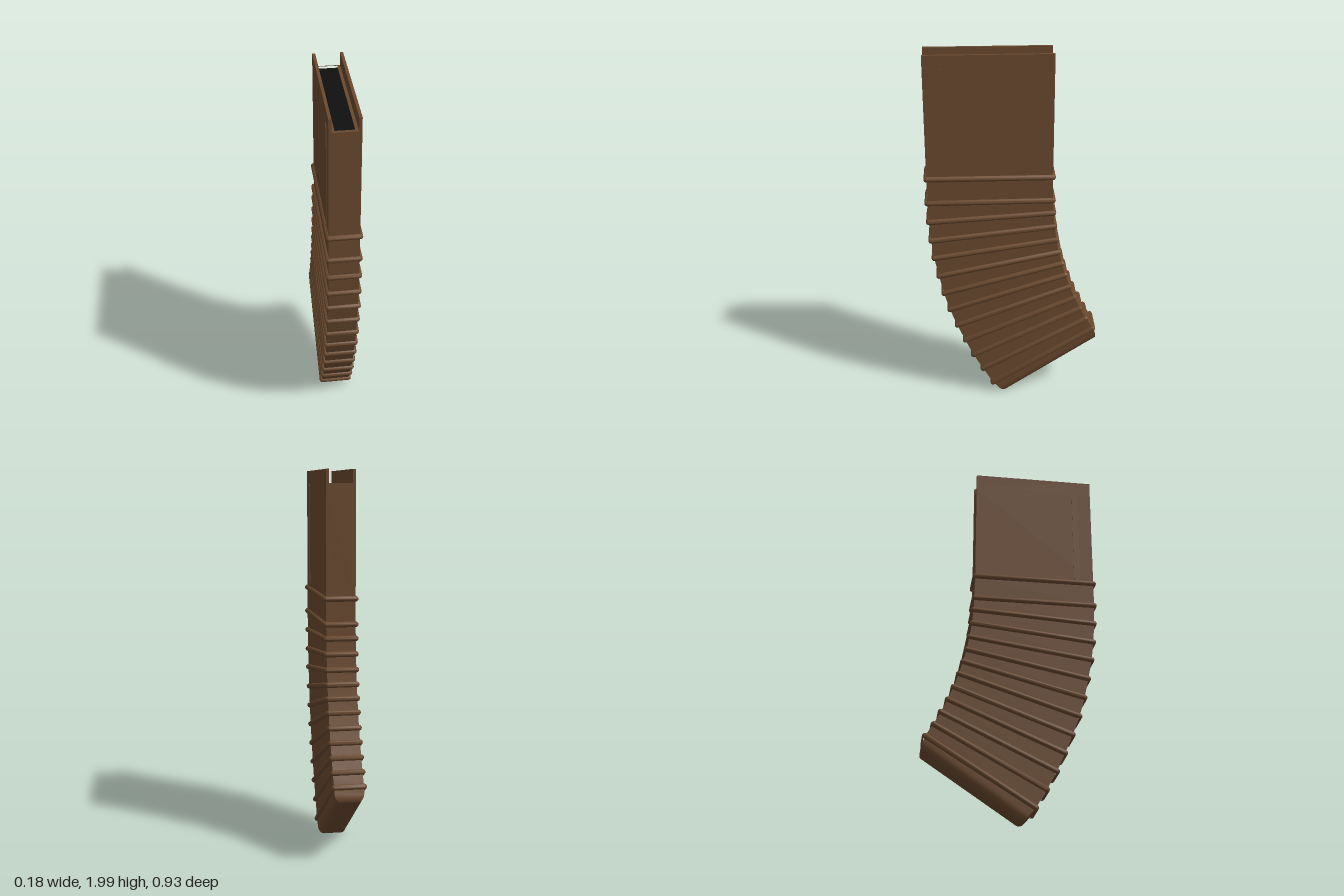
import * as THREE from 'three';
import { toCreasedNormals } from 'three/addons/utils/BufferGeometryUtils.js';

const HALF_W = 0.077;

// Front and back edge of the body at each rib: [front z, front y, back z, back y]
const STATIONS = [
  [0.45, 1.345, -0.204, 1.345], [0.45, 1.21, -0.206, 1.213], [0.446, 1.10, -0.21, 1.14],
  [0.438, 0.99, -0.217, 1.06], [0.425, 0.885, -0.229, 0.98], [0.403, 0.775, -0.243, 0.905],
  [0.38, 0.667, -0.26, 0.835], [0.35, 0.562, -0.28, 0.765], [0.312, 0.46, -0.306, 0.69],
  [0.27, 0.36, -0.334, 0.62], [0.226, 0.262, -0.368, 0.55], [0.173, 0.165, -0.402, 0.482],
  [0.117, 0.07, -0.443, 0.418],
];

// Rectangular ring around a station, grown outwards and dropped along its normal
function ring([fz, fy, bz, by], grow = 0, drop = 0, cornerSteps = 0) {
  const len = Math.hypot(fz - bz, fy - by);
  const uz = (fz - bz) / len, uy = (fy - by) / len;
  const points = [];
  for (let i = 0; i < 4; i++) {
    const sx = i < 2 ? 1 : -1;
    const front = i === 0 || i === 3;
    for (let k = 0; k <= cornerSteps; k++) {
      const a = Math.PI / 2 * (1 - i - k / (cornerSteps || 1));
      const gx = cornerSteps ? grow * Math.cos(a) : grow * sx;
      const gs = cornerSteps ? grow * Math.sin(a) : grow * (front ? 1 : -1);
      points.push([
        HALF_W * sx + gx,
        (front ? fy : by) + uy * gs - uz * drop,
        (front ? fz : bz) + uz * gs + uy * drop,
      ]);
    }
  }
  return points;
}

// Skin between rings listed from top to bottom
function loft(rings, capBottom, crease) {
  const pos = [];
  const tri = (...pts) => pts.forEach((p) => pos.push(...p));
  for (let r = 0; r < rings.length - 1; r++) {
    const top = rings[r], low = rings[r + 1];
    for (let i = 0; i < top.length; i++) {
      const j = (i + 1) % top.length;
      tri(top[i], low[i], low[j]);
      tri(top[i], low[j], top[j]);
    }
  }
  if (capBottom) {
    const e = rings[rings.length - 1];
    tri(e[0], e[2], e[1]);
    tri(e[0], e[3], e[2]);
  }
  const geo = new THREE.BufferGeometry();
  geo.setAttribute('position', new THREE.Float32BufferAttribute(pos, 3));
  return toCreasedNormals(geo, crease);
}

export function createModel() {
  const group = new THREE.Group();
  const brown = new THREE.MeshStandardMaterial({ color: 0x6b4a2f });
  brown.name = 'brown';
  const black = new THREE.MeshStandardMaterial({ color: 0x101010 });
  black.name = 'black';
  const add = (name, geo, mat, x = 0, y = 0, z = 0) => {
    const mesh = new THREE.Mesh(geo, mat);
    mesh.name = name;
    mesh.position.set(x, y, z);
    group.add(mesh);
    return mesh;
  };

  // Curved body with a rounded base
  const base = [0.085, 0.034, -0.45, 0.393];
  const rings = [ring([0.45, 1.915, -0.204, 1.915]), ...STATIONS.map((s) => ring(s))];
  for (let k = 0; k <= 6; k++) {
    const a = k / 6 * Math.PI / 2;
    rings.push(ring(base, -0.035 * (1 - Math.cos(a)), 0.05 * Math.sin(a)));
  }
  add('body', loft(rings, true, 0.5), brown);

  // Half-round ribs wrapping the body
  STATIONS.forEach((s, n) => {
    const profile = [];
    for (let k = 0; k <= 8; k++) {
      const a = (k / 8 - 0.5) * Math.PI;
      profile.push(ring(s, 0.0145 * Math.cos(a), 0.0145 * Math.sin(a), 4));
    }
    add(`rib${n + 1}`, loft(profile, false, 0.9), brown);
  });

  // Top deck with its opening
  const rect = (path, x, z0, z1) => {
    path.moveTo(-x, -z0);
    path.lineTo(x, -z0);
    path.lineTo(x, -z1);
    path.lineTo(-x, -z1);
    path.closePath();
    return path;
  };
  const deckShape = rect(new THREE.Shape(), HALF_W, -0.204, 0.45);
  deckShape.holes.push(rect(new THREE.Path(), 0.047, -0.197, 0.433));
  const deck = new THREE.ExtrudeGeometry(deckShape, { depth: 0.015, bevelEnabled: false });
  deck.rotateX(-Math.PI / 2);
  add('topDeck', deck, brown, 0, 1.915, 0);
  add('opening', new THREE.BoxGeometry(0.12, 0.006, 0.645), black, 0, 1.915, 0.123);

  // Slim raised strip outline, rounded at both ends
  const strip = new THREE.Shape();
  strip.absarc(0, 0.27, 0.017, 0, Math.PI);
  strip.absarc(0, -0.27, 0.017, Math.PI, Math.PI * 2);
  const stripGeo = new THREE.ExtrudeGeometry(strip, { depth: 0.004, bevelEnabled: false, curveSegments: 8 });

  // Feed rails and side strips, mirrored
  for (const side of [1, -1]) {
    const name = side > 0 ? 'left' : 'right';
    add(`${name}Rail`, new THREE.BoxGeometry(0.015, 0.07, 0.654), brown, side * 0.0695, 1.965, 0.123);
    add(`${name}Strip`, stripGeo, brown, side * (HALF_W - 0.001), 1.645, 0.36).rotation.y = side * Math.PI / 2;
  }
  return group;
}
